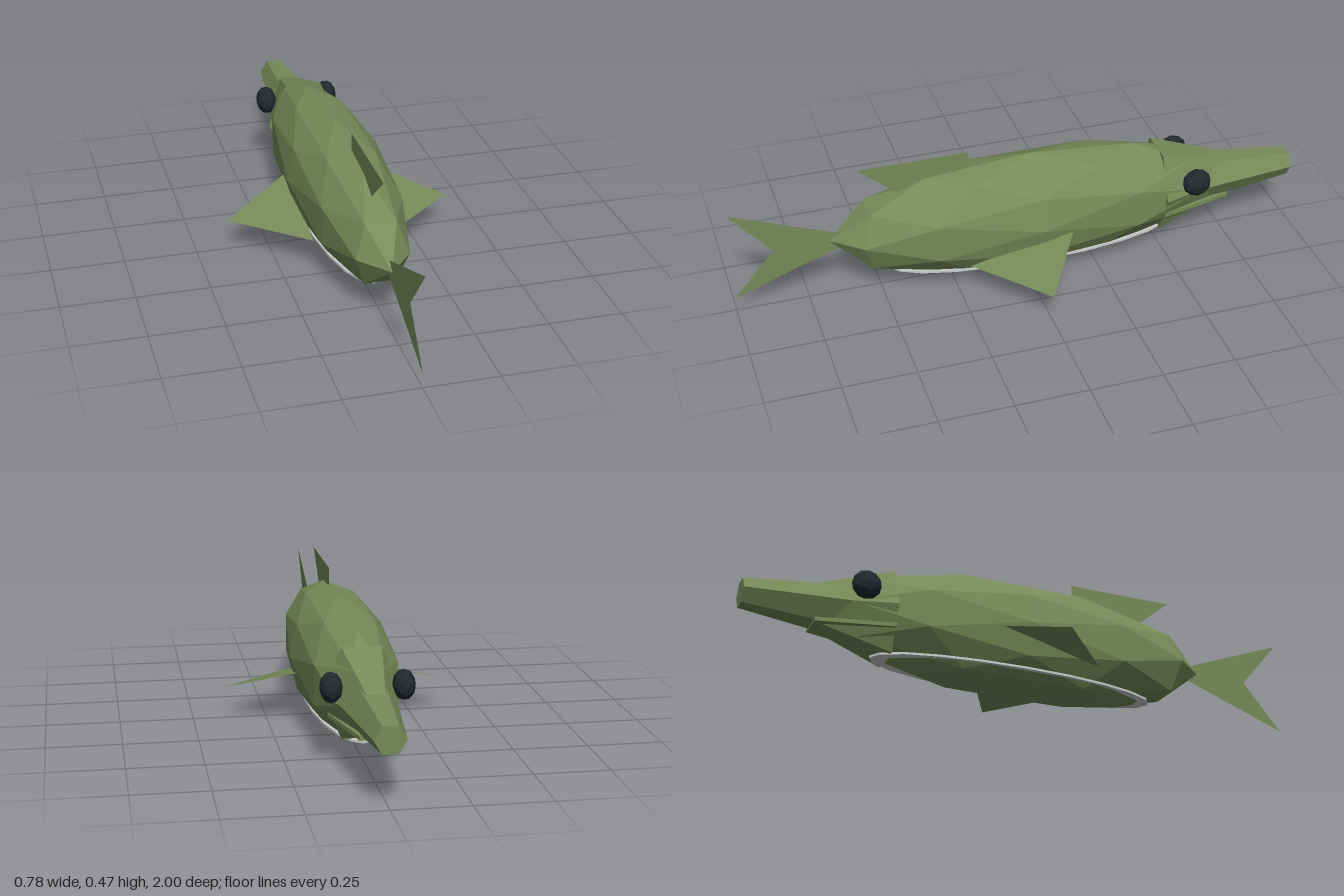
import * as THREE from 'three';

const skin = new THREE.MeshStandardMaterial({ color: 0x778a58, flatShading: true });
const finSkin = new THREE.MeshStandardMaterial({ color: 0x778a58, flatShading: true, side: THREE.DoubleSide });
const dark = new THREE.MeshStandardMaterial({ color: 0x23282d, flatShading: true });
const grey = new THREE.MeshStandardMaterial({ color: 0xcccccc, flatShading: true, side: THREE.DoubleSide });

const MID = 0.217; // height of the body axis

function add(group, name, geometry, material) {
  const mesh = new THREE.Mesh(geometry, material);
  mesh.name = name;
  group.add(mesh);
  return mesh;
}

// Six-sided tapering tube along z, flat on top, corners at the sides
function hexTaper(zFront, rFront, zBack, rBack) {
  const g = new THREE.CylinderGeometry(rFront, rBack, zBack - zFront, 6);
  g.rotateY(Math.PI / 2);
  g.rotateX(-Math.PI / 2);
  const aligned = g.rotateZ(0);
  return aligned.translate(0, MID, (zFront + zBack) / 2);
}

// Thin upright fin in the x = 0 plane from [z, y] corners
function uprightFin(points) {
  const shape = new THREE.Shape(points.map(([z, y]) => new THREE.Vector2(-z, y)));
  return new THREE.ShapeGeometry(shape).rotateY(Math.PI / 2);
}

export function createModel() {
  const fish = new THREE.Group();
  fish.name = 'fish';

  // Faceted body
  const body = new THREE.IcosahedronGeometry(1, 1);
  body.rotateY(Math.PI / 2).scale(0.17, 0.215, 0.71).translate(0, MID, -0.04);
  add(fish, 'body', body, skin);

  // Head and long snout
  add(fish, 'head', hexTaper(-0.76, 0.078, -0.5, 0.173).scale(0.75, 1, 1), skin);
  add(fish, 'snout', hexTaper(-1, 0.05, -0.55, 0.1), skin);

  // Lower jaw: thin slab narrowing to the front
  const jaw = new THREE.BoxGeometry(0.22, 0.014, 0.26);
  const p = jaw.attributes.position;
  for (let i = 0; i < p.count; i++) if (p.getZ(i) < 0) p.setX(i, p.getX(i) * 0.45);
  add(fish, 'jaw', jaw.translate(0, 0.148, -0.63), skin);

  // Thin belly plate just breaking through the underside
  const belly = new THREE.CylinderGeometry(1, 1, 0.008, 20).scale(0.123, 1, 0.512);
  add(fish, 'bellyPlate', belly.translate(0, 0.069, -0.045), grey);

  // Upright fins
  add(fish, 'dorsalFin', uprightFin([[0.18, 0.34], [0.18, 0.475], [0.56, 0.475], [0.4, 0.34]]), finSkin);
  add(fish, 'tailFin', uprightFin([[0.56, 0.213], [1, 0.385], [0.86, 0.217], [1, 0.05]]), finSkin);

  // Mirrored eyes and side fins
  for (const [side, s] of [['left', 1], ['right', -1]]) {
    const eye = new THREE.IcosahedronGeometry(1, 1).scale(0.037, 0.05, 0.051);
    add(fish, side + 'Eye', eye, dark).position.set(s * 0.115, 0.27, -0.61);

    const fin = new THREE.BufferGeometry();
    fin.setAttribute('position', new THREE.Float32BufferAttribute(
      [s * 0.14, 0.195, -0.155, s * 0.39, 0.11, 0, s * 0.14, 0.11, 0.215], 3));
    fin.computeVertexNormals();
    add(fish, side + 'SideFin', fin, finSkin);
  }
  return fish;
}
